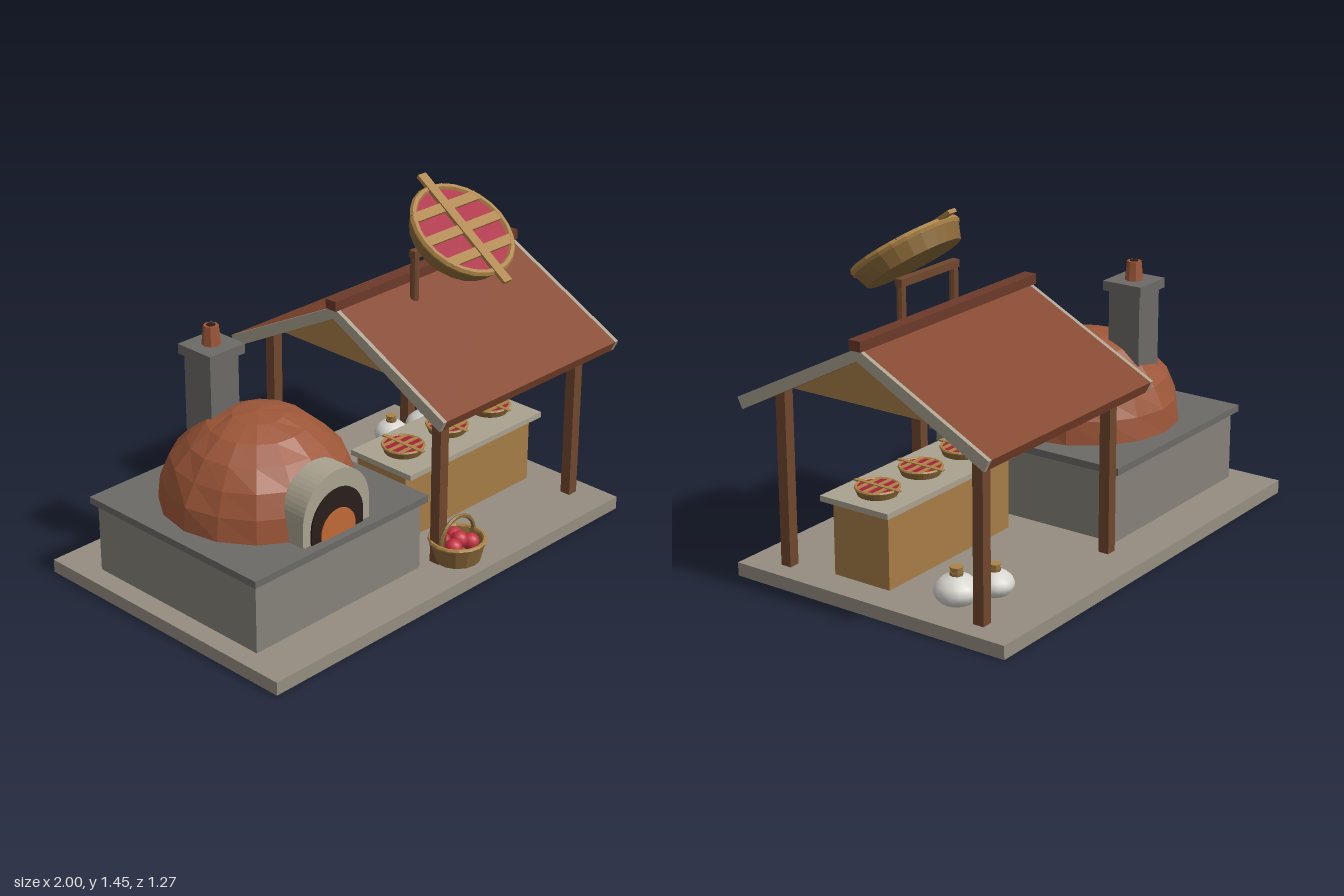
import * as THREE from 'three';

const COL = {
  paving: 0x958d80, stone: 0x86827a, slab: 0x6c6a66, brick: 0x9c5638, roof: 0x85482f, ridge: 0x6b3a2a,
  trim: 0xaaa28f, post: 0x70472d, wood: 0xa67c46, crust: 0xac8346, dish: 0x8a6938, berry: 0xa81f3c,
  soot: 0x2a1e1a, ember: 0xc06a35, sack: 0xd6d4ce, apple: 0xc23040,
};
const mats = {};
function mat(key, flat = true) {
  return (mats[key + flat] ??= new THREE.MeshStandardMaterial({
    color: COL[key], flatShading: flat, side: THREE.DoubleSide,
  }));
}
function add(parent, name, geo, key, x = 0, y = 0, z = 0, flat = true) {
  const m = new THREE.Mesh(geo, mat(key, flat));
  m.name = name;
  m.position.set(x, y, z);
  parent.add(m);
  return m;
}
// Box given by its limits on each axis
function box(parent, name, key, x0, x1, y0, y1, z0, z1) {
  return add(parent, name, new THREE.BoxGeometry(x1 - x0, y1 - y0, z1 - z0), key,
    (x0 + x1) / 2, (y0 + y1) / 2, (z0 + z1) / 2);
}
// Cross-section in (z, y), extruded along x from x0 to x1
function prism(parent, name, key, pts, x0, x1) {
  const shape = new THREE.Shape(pts.map(p => new THREE.Vector2(...p)));
  const geo = new THREE.ExtrudeGeometry(shape, { depth: x1 - x0, bevelEnabled: false });
  return add(parent, name, geo.rotateY(Math.PI / 2), key, x0);
}
// Arch outline: straight legs below a half circle
function archPath(Type, r, leg) {
  const s = new Type();
  s.moveTo(r, 0);
  s.lineTo(r, leg);
  s.absarc(0, leg, r, 0, Math.PI, false);
  s.lineTo(-r, 0);
  s.closePath();
  return s;
}
function arch(parent, name, key, r, leg, z0, z1) {
  const geo = new THREE.ExtrudeGeometry(archPath(THREE.Shape, r, leg),
    { depth: z1 - z0, bevelEnabled: false, curveSegments: 14 });
  return add(parent, name, geo, key, -0.475, 0.375, z0);
}

// Hemispherical dome with slightly uneven facets
function domeGeometry(r, h) {
  const geo = new THREE.SphereGeometry(1, 16, 6, 0, Math.PI * 2, 0, Math.PI / 2);
  const p = geo.attributes.position;
  for (let i = 0; i < p.count; i++) {
    const x = p.getX(i), y = p.getY(i), z = p.getZ(i);
    const k = y > 0.01 && y < 0.99 ? 1 + 0.012 * Math.sin(x * 37 + y * 23 + z * 51) : 1;
    p.setXYZ(i, x * r * k, y * h * k, z * r * k);
  }
  geo.computeVertexNormals();
  return geo;
}

// Lattice pie, facing up, rim at y = 0
function makePie(name) {
  const g = new THREE.Group();
  g.name = name;
  const profile = [[0, -0.08], [0.198, -0.08], [0.226, -0.005], [0.2, -0.005]];
  add(g, 'pieDish', new THREE.LatheGeometry(profile.map(p => new THREE.Vector2(...p)), 24), 'dish');
  add(g, 'pieFilling', new THREE.CylinderGeometry(0.21, 0.2, 0.02, 24), 'berry', 0, -0.014, 0);
  const rim = add(g, 'pieRim', new THREE.TorusGeometry(0.215, 0.015, 6, 24), 'crust', 0, -0.006, 0);
  rim.rotation.x = Math.PI / 2;
  box(g, 'longStrip', 'crust', -0.022, 0.022, -0.003, 0.012, -0.281, 0.281);
  for (const z of [-0.115, 0, 0.115]) {
    const w = Math.sqrt(0.215 ** 2 - z * z);
    box(g, 'crossStrip', 'crust', -w, w, -0.006, 0.006, z - 0.021, z + 0.021);
  }
  return g;
}

function makeSack(x, z, s) {
  const g = new THREE.Group();
  g.name = 'flourSack';
  const body = [[0, 0], [0.06, 0.003], [0.082, 0.025], [0.088, 0.05], [0.078, 0.075], [0.055, 0.096], [0.022, 0.108]];
  add(g, 'sackBody', new THREE.LatheGeometry(body.map(p => new THREE.Vector2(...p)), 16), 'sack', 0, 0, 0, false);
  add(g, 'sackTie', new THREE.CylinderGeometry(0.026, 0.026, 0.014, 8), 'dish', 0, 0.112, 0);
  add(g, 'sackNeck', new THREE.CylinderGeometry(0.027, 0.02, 0.025, 8), 'crust', 0, 0.128, 0);
  g.position.set(x, 0.08 - (1 - s) * 0.01, z);
  g.scale.setScalar(s);
  return g;
}

function makeOven() {
  const g = new THREE.Group();
  g.name = 'oven';
  box(g, 'ovenBase', 'stone', -0.915, -0.035, 0.055, 0.347, -0.44, 0.44);
  box(g, 'ovenSlab', 'slab', -0.937, -0.015, 0.347, 0.376, -0.463, 0.463);
  add(g, 'ovenDome', domeGeometry(0.39, 0.37), 'brick', -0.475, 0.375, 0);
  // Mouth: stone surround, dark opening and glowing embers
  arch(g, 'mouthSurround', 'trim', 0.175, 0.09, 0.3, 0.418);
  arch(g, 'mouthOpening', 'soot', 0.136, 0.055, 0.32, 0.425);
  arch(g, 'embers', 'ember', 0.09, 0.017, 0.33, 0.43);
  // Chimney
  box(g, 'chimney', 'slab', -0.6, -0.455, 0.5, 0.936, -0.268, -0.123);
  box(g, 'chimneyCap', 'slab', -0.616, -0.436, 0.936, 0.976, -0.285, -0.105);
  add(g, 'chimneyPot', new THREE.CylinderGeometry(0.03, 0.038, 0.08, 8), 'brick', -0.526, 1.014, -0.195);
  add(g, 'chimneyFlue', new THREE.CylinderGeometry(0.018, 0.018, 0.004, 8), 'soot', -0.526, 1.055, -0.195);
  return g;
}

function makeStall() {
  const g = new THREE.Group();
  g.name = 'stall';
  for (const x of [0.053, 0.866]) {
    for (const z of [-0.459, 0.459]) {
      box(g, 'post', 'post', x - 0.023, x + 0.023, 0.055, 0.765, z - 0.023, z + 0.023);
    }
    prism(g, 'gable', 'wood', [[-0.41, 0.785], [0.41, 0.785], [0, 1.0]], x - 0.015, x + 0.015);
  }
  // Pitched roof with pale edge boards and a ridge beam
  const section = [[0, 1.043], [-0.582, 0.745], [-0.56, 0.7], [0, 0.995], [0.56, 0.7], [0.582, 0.745]];
  prism(g, 'roof', 'roof', section, -0.05, 0.97);
  prism(g, 'edgeBoard', 'trim', section, -0.068, -0.05);
  prism(g, 'edgeBoard', 'trim', section, 0.97, 0.988);
  box(g, 'ridgeBeam', 'ridge', -0.08, 0.997, 1.035, 1.075, -0.027, 0.027);
  // Counter with three pies
  box(g, 'counter', 'wood', 0.08, 0.838, 0.055, 0.35, -0.008, 0.256);
  box(g, 'counterTop', 'trim', 0.058, 0.86, 0.35, 0.373, -0.023, 0.302);
  for (const x of [0.195, 0.458, 0.722]) {
    const pie = makePie('counterPie');
    pie.scale.setScalar(0.39);
    pie.position.set(x, 0.406, 0.135);
    g.add(pie);
  }
  return g;
}

function makeSign() {
  const g = new THREE.Group();
  g.name = 'pieSign';
  for (const x of [0.299, 0.617]) {
    add(g, 'signPost', new THREE.CylinderGeometry(0.018, 0.018, 0.26, 8), 'post', x, 1.07, 0.089);
  }
  box(g, 'signCrossbar', 'post', 0.282, 0.634, 1.17, 1.2, 0.073, 0.105);
  const pie = makePie('signPie');
  pie.position.set(0.458, 1.275, 0.198);
  pie.rotation.x = THREE.MathUtils.degToRad(35);
  g.add(pie);
  return g;
}

function makeBasket() {
  const g = new THREE.Group();
  g.name = 'appleBasket';
  const wall = [[0, 0], [0.094, 0], [0.116, 0.088], [0.104, 0.088], [0.086, 0.04], [0, 0.04]];
  add(g, 'basketBody', new THREE.LatheGeometry(wall.map(p => new THREE.Vector2(...p)), 14), 'dish');
  add(g, 'basketRim', new THREE.TorusGeometry(0.11, 0.009, 6, 16), 'crust', 0, 0.086, 0).rotation.x = Math.PI / 2;
  add(g, 'basketHandle', new THREE.TorusGeometry(0.097, 0.009, 6, 16, Math.PI), 'dish', 0, 0.085, 0);
  for (const [x, y, z] of [[-0.045, 0.07, 0.02], [0.04, 0.07, 0.035], [0.03, 0.07, -0.045], [-0.035, 0.07, -0.05], [0, 0.085, 0.01]]) {
    add(g, 'apple', new THREE.SphereGeometry(0.036, 10, 8), 'apple', x, y, z, false);
  }
  g.position.set(0.125, 0.056, 0.495);
  return g;
}

export function createModel() {
  const model = new THREE.Group();
  model.name = 'bakeryStall';
  box(model, 'paving', 'paving', -1, 0.97, 0, 0.055, -0.633, 0.633);
  model.add(makeOven(), makeStall(), makeSign(), makeBasket());
  model.add(makeSack(0.81, -0.302, 1), makeSack(0.665, -0.37, 0.85));
  return model;
}
